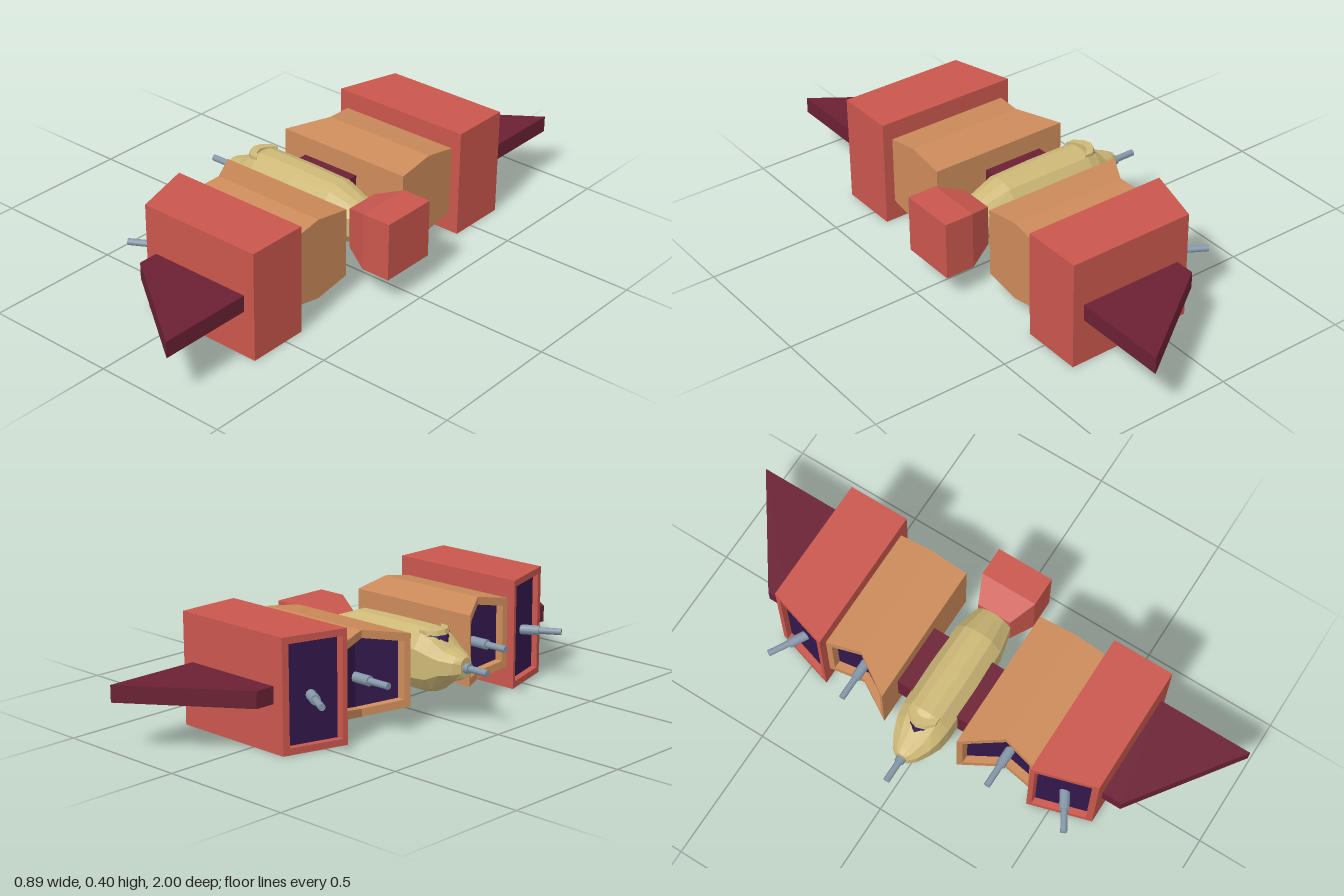
import * as THREE from 'three';

const mat = (name, color) => {
  const m = new THREE.MeshStandardMaterial({ color });
  m.name = name;
  return m;
};

// Cross-section from [z, halfHeight, x] points, mirrored in height around cy;
// rake shifts the upper edge along x.
function ring(profile, cy, rake = 0) {
  const top = profile.map(([z, h, x]) => [x + rake, cy + h, z]);
  const bottom = profile.map(([z, h, x]) => [x, cy - h, z]).reverse();
  return [...top, ...bottom];
}
const mirror = (profile) => profile.map(([z, h, x]) => [-z, h, x]).reverse();
const atX = (profile, x) => profile.map(([z, h]) => [z, h, x]);

// Flat-faceted solid through rings ordered from the tail (+x) to the nose (-x).
// The nose cap is its own group, so it can take a second material.
function loft(name, rings, material, capMaterial = material) {
  const pos = [];
  const quad = (a, b, c, d) => pos.push(...a, ...b, ...c, ...a, ...c, ...d);
  const n = rings[0].length;
  const cap = (r, front) => {
    for (let i = 0; i < n / 2 - 1; i++) {
      const q = [r[i], r[i + 1], r[n - 2 - i], r[n - 1 - i]];
      quad(...(front ? q.reverse() : q));
    }
  };
  cap(rings[0], false);
  for (let k = 0; k < rings.length - 1; k++) {
    const A = rings[k], B = rings[k + 1];
    for (let i = 0; i < n; i++) {
      const j = (i + 1) % n;
      quad(A[i], B[i], B[j], A[j]);
    }
  }
  const bodyCount = pos.length / 3;
  cap(rings[rings.length - 1], true);
  const geo = new THREE.BufferGeometry();
  geo.setAttribute('position', new THREE.Float32BufferAttribute(pos, 3));
  geo.addGroup(0, bodyCount, 0);
  geo.addGroup(bodyCount, pos.length / 3 - bodyCount, 1);
  geo.computeVertexNormals();
  const mesh = new THREE.Mesh(geo, [material, capMaterial]);
  mesh.name = name;
  return mesh;
}

// Thick sleeve and thin barrel pointing to -x
function gun(name, material, length, sleeve) {
  const g = new THREE.Group();
  g.name = name;
  const tube = (part, r, len) => {
    const geo = new THREE.CylinderGeometry(r, r, len, 10).rotateZ(Math.PI / 2);
    const m = new THREE.Mesh(geo, material);
    m.name = part;
    m.position.x = -len / 2;
    g.add(m);
  };
  tube('gunSleeve', 0.018, sleeve);
  tube('gunBarrel', 0.012, length);
  return g;
}

export function createModel() {
  const red = mat('red hull', 0xc9574d);
  const orange = mat('orange hull', 0xcc8b5a);
  const sand = mat('sand fuselage', 0xcdb877);
  const maroon = mat('maroon wing', 0x6b2134);
  const purple = mat('dark purple panel', 0x33184c);
  const steel = mat('steel', 0x8698a9);

  const model = new THREE.Group();
  model.name = 'spacecraft';

  // Fuselage: [x, half width, half height, centre height]
  const body = [
    [0.24, 0.068, 0.075, 0.203], [0.14, 0.09, 0.11, 0.205], [-0.02, 0.095, 0.113, 0.205],
    [-0.2, 0.093, 0.113, 0.205], [-0.245, 0.087, 0.098, 0.2], [-0.29, 0.072, 0.059, 0.202],
    [-0.335, 0.048, 0.045, 0.202], [-0.355, 0.026, 0.036, 0.202],
  ];
  const facets = [[-1, 0.45], [-0.6, 0.88], [-0.25, 1], [0.25, 1], [0.6, 0.88], [1, 0.45]];
  model.add(loft('fuselage',
    body.map(([x, w, h, cy]) => ring(facets.map(([z, y]) => [z * w, y * h, x]), cy)), sand));

  // Curved windscreen under a small hood
  const arc = [-1, -0.5, 0, 0.5, 1];
  const bow = (x, h, w) => arc.map((a) => [a * w, h * (1 - 0.25 * a * a), x + 0.035 * a * a]);
  model.add(loft('windscreen',
    [ring(bow(-0.235, 0.022, 0.052), 0.28), ring(bow(-0.284, 0.022, 0.052), 0.28, 0.028)], purple));
  model.add(loft('windscreenHood',
    [ring(bow(-0.225, 0.009, 0.055), 0.308), ring(bow(-0.262, 0.009, 0.055), 0.308, 0.006)], sand));

  // Cross beam joining the pods
  const beam = new THREE.Mesh(new THREE.BoxGeometry(0.235, 0.115, 0.34), maroon);
  beam.name = 'crossBeam';
  beam.position.set(-0.028, 0.203, 0);
  model.add(beam);

  // Flared tail block
  const tail = [[0.445, 0.108, 0.107], [0.335, 0.108, 0.107], [0.24, 0.065, 0.075]];
  model.add(loft('tailBlock',
    tail.map(([x, w, h]) => ring([[-w, h, x], [w, h, x]], 0.203)), red));

  const noseGun = gun('noseGun', steel, 0.11, 0.033);
  noseGun.position.set(-0.34, 0.202, 0);
  model.add(noseGun);

  for (const [side, s] of [['left', 1], ['right', -1]]) {
    const flip = (p) => (s > 0 ? p : mirror(p));
    // Pod with a framed opening: outer lip, inner lip, recessed panel
    const pod = (name, lip, inner, backX, depth, cy, material) => {
      const sunk = inner.map(([z, h, x]) => [z, h, x + depth]);
      const rings = [atX(lip, backX), lip, inner, sunk].map((p) => ring(flip(p), cy));
      model.add(loft(side + name, rings, material, purple));
    };
    pod('InnerPod',
      [[0.15, 0.128, -0.24], [0.292, 0.151, -0.15], [0.42, 0.128, -0.178]],
      [[0.168, 0.102, -0.229], [0.292, 0.123, -0.15], [0.4, 0.102, -0.174]],
      0.297, 0.03, 0.204, orange);
    pod('OuterPod',
      [[0.42, 0.2, -0.21], [0.648, 0.2, -0.142]],
      [[0.437, 0.176, -0.205], [0.625, 0.176, -0.149]],
      0.335, 0.025, 0.2, red);

    // Swept wing
    model.add(loft(side + 'Wing', [
      ring(flip([[0.64, 0.03, 0.292], [1, 0.03, 0.292]]), 0.2),
      ring(flip([[0.64, 0.03, -0.1], [0.722, 0.03, -0.1]]), 0.2),
    ], maroon));

    // Guns in the pod openings; the outer ones splay outwards
    const inner = gun(side + 'InnerGun', steel, 0.16, 0.075);
    inner.position.set(-0.118, 0.188, s * 0.297);
    const outer = gun(side + 'OuterGun', steel, 0.15, 0.07);
    outer.position.set(-0.148, 0.188, s * 0.53);
    outer.rotation.y = s * 0.52;
    model.add(inner, outer);
  }
  return model;
}
